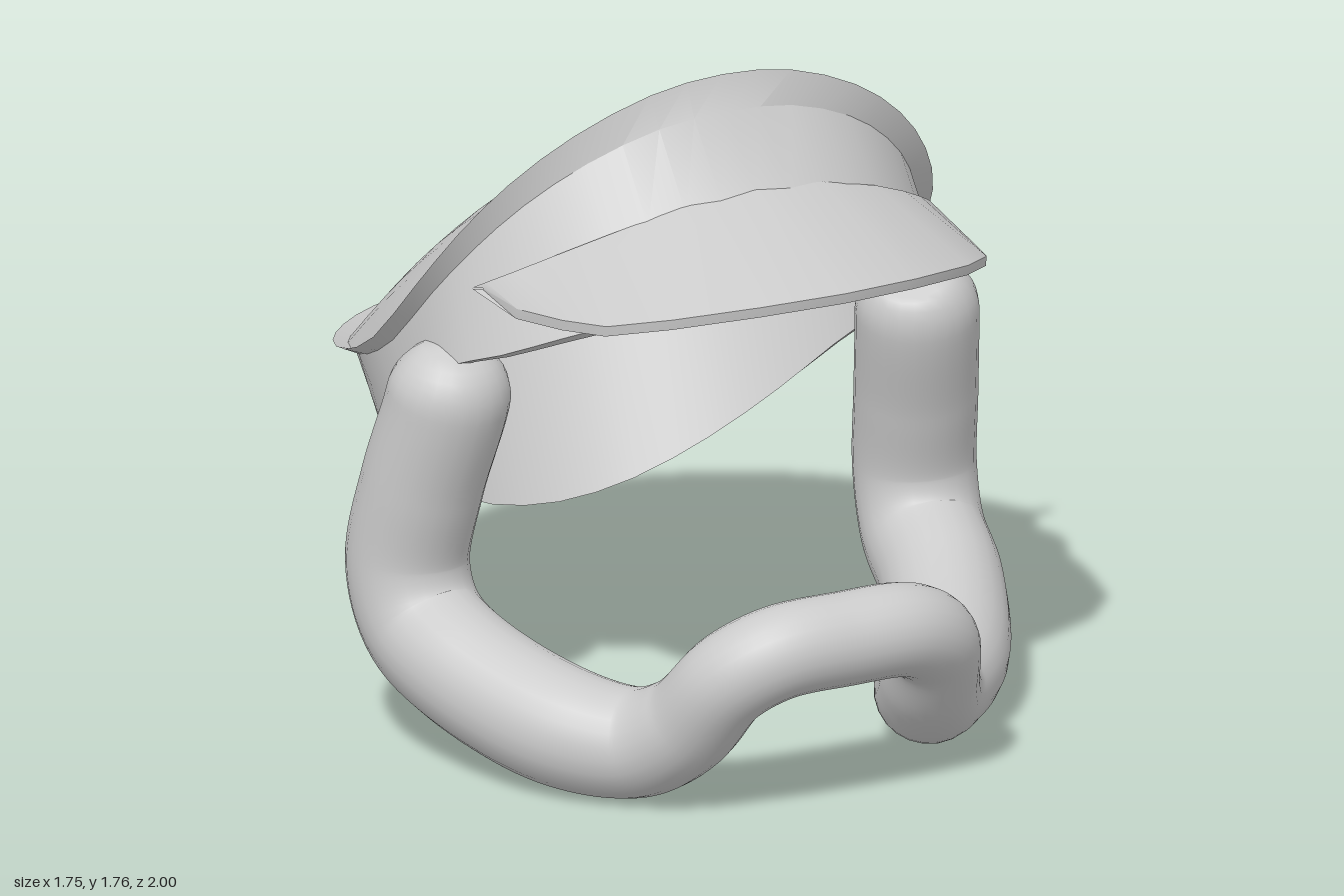
import * as THREE from 'three';
import { toCreasedNormals } from 'three/addons/utils/BufferGeometryUtils.js';

const V = (x, y, z) => new THREE.Vector3(x, y, z);
const mat = new THREE.MeshStandardMaterial({ color: 0xcccccc, side: THREE.DoubleSide });

// Skin a list of equally long rows of points
function skin(rows, closed = false) {
  const n = rows[0].length, pos = [], idx = [];
  rows.forEach(r => r.forEach(p => pos.push(p.x, p.y, p.z)));
  for (let i = 0; i < rows.length - 1; i++) {
    for (let j = 0; j < (closed ? n : n - 1); j++) {
      const a = i * n + j, b = i * n + (j + 1) % n;
      idx.push(a, a + n, b, b, a + n, b + n);
    }
  }
  const g = new THREE.BufferGeometry();
  g.setAttribute('position', new THREE.Float32BufferAttribute(pos, 3));
  g.setIndex(idx);
  return g;
}

function part(name, geometry, crease) {
  const m = new THREE.Mesh(crease ? toCreasedNormals(geometry, crease) : geometry, mat);
  if (!crease) geometry.computeVertexNormals();
  m.name = name;
  return m;
}

const flip = p => V(-p.x, p.y, p.z);
// Half loop (front centre to back centre) to a full closed loop
const fullLoop = half => [...half, ...half.slice(1, -1).reverse().map(flip)];
// Half row (centre outwards) to a full row
const fullRow = half => [...half.slice(1).reverse().map(flip), ...half];

// Round off a half loop, doubling its points
const HALF = 24;
function roundHalf(points) {
  const curve = new THREE.CatmullRomCurve3(fullLoop(points.map(p => V(...p))), true, 'catmullrom', 0.5);
  return Array.from({ length: HALF + 1 }, (_, i) => curve.getPoint(i / (2 * HALF)));
}

// Half loops of the cap, from the front centre round to the back centre
const rim = roundHalf([
  [0, 1.76, 0.23], [0.2, 1.735, 0.222], [0.4, 1.65, 0.19], [0.555, 1.53, 0.135],
  [0.665, 1.39, 0.065], [0.735, 1.235, -0.03], [0.77, 1.05, -0.19], [0.757, 0.955, -0.37],
  [0.69, 0.905, -0.56], [0.57, 0.87, -0.73], [0.41, 0.845, -0.87], [0.21, 0.828, -0.965], [0, 0.82, -1],
]);
const hem = roundHalf([
  [0, 1.31, 0.59], [0.2, 1.295, 0.56], [0.38, 1.25, 0.48], [0.52, 1.185, 0.36],
  [0.63, 1.115, 0.23], [0.7, 1.05, 0.08], [0.715, 0.94, -0.1], [0.7, 0.84, -0.24],
  [0.65, 0.73, -0.37], [0.55, 0.59, -0.49], [0.4, 0.455, -0.59], [0.21, 0.355, -0.655], [0, 0.32, -0.675],
]);

// Shrink a point towards the middle line of the cap
const shrink = (p, s, cz = -0.37) => V(p.x * s, p.y, cz + (p.z - cz) * s);

function createCap() {
  const cap = new THREE.Group();
  cap.name = 'cap';

  const rimInner = rim.map(p => shrink(p, 0.945).setY(p.y - 0.01 - 0.05 * Math.max(0, p.y - 0.98)));
  const neck = rim.map((p, i) => shrink(p.clone().lerp(hem[i], 0.2 - 0.09 * i / HALF), 0.94));
  const waist = neck.map((p, i) => p.clone().lerp(hem[i], 0.5));
  const hemInner = hem.map(p => shrink(p, 0.96, 0).setY(p.y - 0.05 * Math.max(0, p.z)));
  const wallTop = rimInner.map(p => shrink(p, 0.96));

  // Band with its flared rim, hem and inner wall
  const rows = [rimInner, rim, neck, waist, hem, hemInner, wallTop].map(fullLoop);
  cap.add(part('band', skin(rows, true), 0.45));

  // Gently bulging crown stretched from the front rim to the back rim
  const columns = [];
  for (let i = 0; i <= HALF / 2; i++) {
    const a = rimInner[i], b = rimInner[HALF - i], col = [];
    const bulge = 0.06 * a.distanceTo(b) / 1.44;
    for (let k = 0; k <= 8; k++) {
      const p = a.clone().lerp(b, k / 8);
      p.y += bulge * Math.sin(Math.PI * k / 8);
      col.push(p);
    }
    columns.push(col);
  }
  const right = columns.slice(1).reverse().map(c => c.map(flip));
  cap.add(part('crown', skin([...right, ...columns]), 0.6));

  // Visor with a thin front lip
  const root = [
    [0, 1.51, 0.405], [0.2, 1.49, 0.39], [0.38, 1.43, 0.335], [0.5, 1.37, 0.265],
    [0.58, 1.32, 0.2], [0.63, 1.285, 0.15], [0.65, 1.265, 0.12],
  ].map(p => V(...p));
  const edge = [
    [0, 1.39, 0.89], [0.22, 1.38, 0.855], [0.42, 1.35, 0.76], [0.54, 1.31, 0.63],
    [0.585, 1.285, 0.48], [0.62, 1.262, 0.3], [0.635, 1.27, 0.15],
  ].map(p => V(...p));
  const drop = r => r.map((p, i) => V(p.x, p.y - (i === 6 ? 0.005 : 0.028), p.z - 0.005));
  cap.add(part('visor', skin([root, edge, drop(edge), drop(root)].map(fullRow)), 0.6));
  return cap;
}

// Bent tube hanging below the cap, with domed ends
function createTube() {
  const half = [
    [0, 0.46, 0.878], [0.18, 0.45, 0.867], [0.285, 0.385, 0.815], [0.345, 0.23, 0.69],
    [0.415, 0.15, 0.56], [0.545, 0.165, 0.41], [0.675, 0.25, 0.13], [0.71, 0.33, -0.04],
    [0.72, 0.47, -0.1], [0.7, 0.7, -0.055], [0.665, 0.95, 0.018], [0.655, 1.095, 0.035],
  ].map(p => V(...p));
  const curve = new THREE.CatmullRomCurve3(fullRow(half), false, 'centripetal');
  const steps = 200, sides = 24, length = curve.getLength(), dome = 0.15;
  const frames = curve.computeFrenetFrames(steps);
  const rows = [];
  for (let i = 0; i <= steps; i++) {
    const u = i / steps, c = curve.getPointAt(u);
    const d = Math.min(u, 1 - u) * length;
    let r = THREE.MathUtils.lerp(0.12, 0.157, THREE.MathUtils.smoothstep(Math.abs(2 * u - 1), 0.15, 0.45));
    if (d < dome) r *= Math.sqrt(Math.max(1e-5, 1 - (1 - d / dome) ** 2));
    const ring = [];
    for (let j = 0; j < sides; j++) {
      const a = j / sides * Math.PI * 2;
      const p = c.clone()
        .addScaledVector(frames.normals[i], r * Math.cos(a))
        .addScaledVector(frames.binormals[i], r * Math.sin(a));
      // The left end is cut off at a slant
      if (p.x > 0.4 && p.y > 0.9) p.y = Math.min(p.y, 0.98 + 0.4 * (p.x - 0.53) + 0.45 * (0.15 - p.z));
      ring.push(p);
    }
    rows.push(ring);
  }
  return part('bentTube', skin(rows, true), 0);
}

export function createModel() {
  const model = new THREE.Group();
  model.name = 'capWithTube';
  model.add(createCap(), createTube());
  return model;
}
